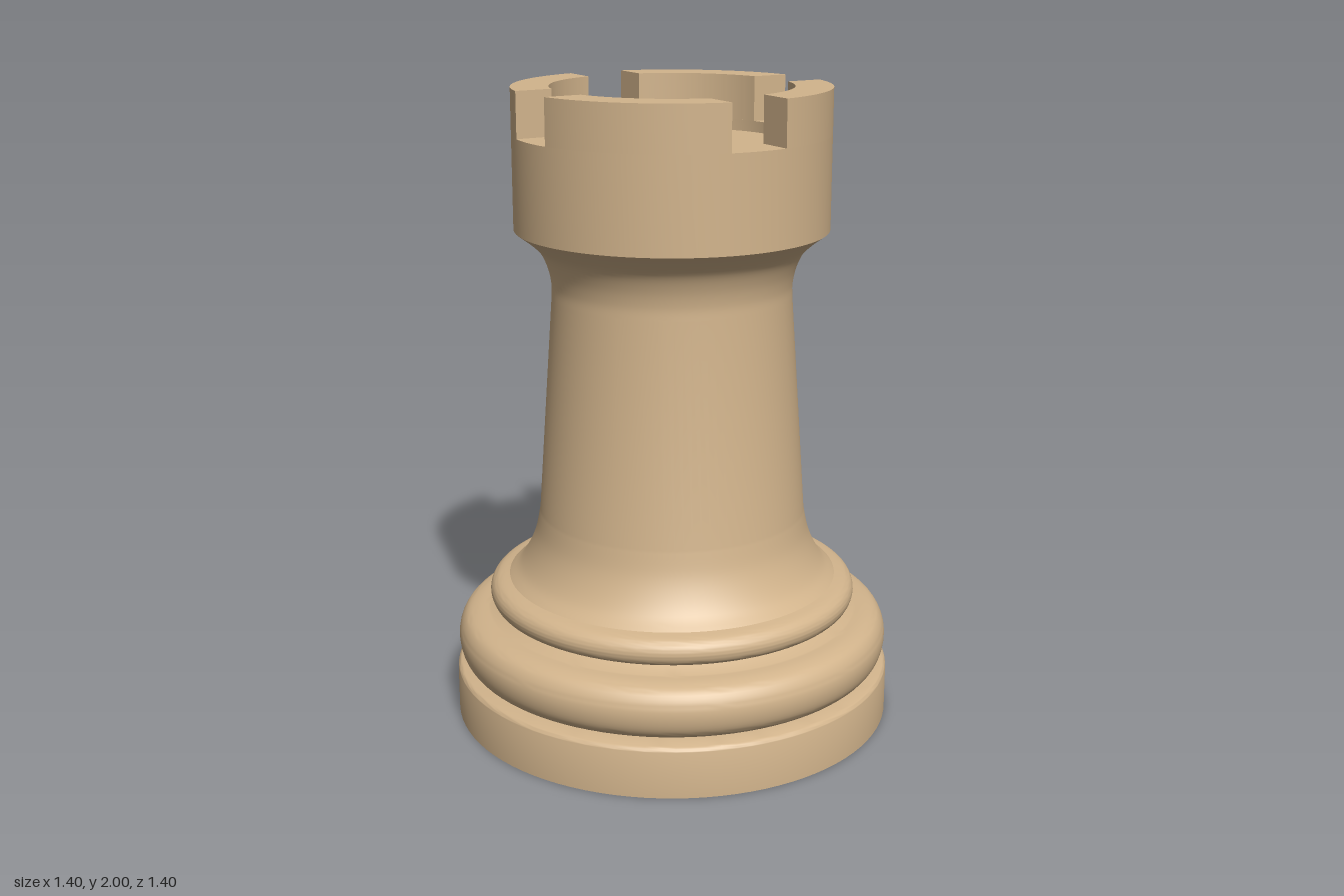
import * as THREE from 'three';
import { toCreasedNormals } from 'three/addons/utils/BufferGeometryUtils.js';

const wood = new THREE.MeshStandardMaterial({ color: 0xd2b48c });
wood.name = 'tan wood';

const SEGMENTS = 96;
const HEAD_R = 0.485, WELL_R = 0.37, NOTCH = 0.092;
const NOTCH_Y = 1.86, FLOOR_Y = 1.825, TOP_Y = 2;

const pt = (r, y) => new THREE.Vector2(r, y);

// Smooth run through a few [radius, height] points
const curve = (coords, n = 20) => new THREE.SplineCurve(coords.map(c => pt(...c))).getPoints(n);

function mesh(name, geometry) {
  const m = new THREE.Mesh(geometry, wood);
  m.name = name;
  return m;
}

function turned(name, points) {
  return mesh(name, toCreasedNormals(new THREE.LatheGeometry(points, SEGMENTS), 0.6));
}

function disc(name, radius, y, up) {
  const g = new THREE.CircleGeometry(radius, SEGMENTS);
  g.rotateX(up ? -Math.PI / 2 : Math.PI / 2);
  g.translate(0, y, 0);
  return mesh(name, g);
}

// One quarter of the battlement, with straight parallel notch sides
function merlonGeometry() {
  const outer = Math.asin(NOTCH / HEAD_R), inner = Math.asin(NOTCH / WELL_R);
  const shape = new THREE.Shape();
  shape.absarc(0, 0, HEAD_R, outer, Math.PI / 2 - outer, false);
  shape.absarc(0, 0, WELL_R, Math.PI / 2 - inner, inner, true);
  shape.closePath();
  const g = new THREE.ExtrudeGeometry(shape, {
    depth: TOP_Y - NOTCH_Y, bevelEnabled: false, curveSegments: 24,
  });
  g.rotateX(-Math.PI / 2);
  g.translate(0, NOTCH_Y, 0);
  return toCreasedNormals(g, 0.6);
}

export function createModel() {
  const group = new THREE.Group();
  group.name = 'rook';

  // Foot
  group.add(disc('footUnderside', 0.7, 0, false));
  group.add(turned('foot', [
    pt(0.7, 0), pt(0.7, 0.14),
    ...curve([[0.699, 0.148], [0.694, 0.157], [0.684, 0.162]], 6),
    pt(0.6, 0.163),
  ]));

  // Two rounded rings
  group.add(turned('lowerRing', [
    pt(0.6, 0.163),
    ...curve([[0.625, 0.165], [0.66, 0.178], [0.683, 0.207], [0.692, 0.25],
      [0.686, 0.29], [0.665, 0.322], [0.63, 0.337], [0.59, 0.342]], 28),
    pt(0.555, 0.361),
  ]));
  group.add(turned('upperRing', [
    pt(0.53, 0.361),
    ...curve([[0.56, 0.362], [0.578, 0.374], [0.587, 0.4], [0.58, 0.425],
      [0.56, 0.442], [0.525, 0.451]], 24),
  ]));

  // Flared, tapering body with a cove under the head
  group.add(turned('body', [
    ...curve([[0.525, 0.451], [0.49, 0.485], [0.46, 0.535], [0.437, 0.595], [0.422, 0.67]], 20),
    ...curve([[0.373, 1.36], [0.373, 1.4], [0.383, 1.45], [0.405, 1.5], [0.44, 1.536], [HEAD_R, 1.57]], 24),
  ]));

  // Head wall, notch ledge and well
  group.add(turned('head', [
    pt(HEAD_R, 1.57), pt(HEAD_R, NOTCH_Y), pt(WELL_R, NOTCH_Y), pt(WELL_R, FLOOR_Y),
  ]));
  group.add(disc('wellFloor', WELL_R, FLOOR_Y, true));

  // Four merlons
  const merlon = merlonGeometry();
  for (let i = 0; i < 4; i++) {
    const m = mesh('merlon', merlon);
    m.rotation.y = i * Math.PI / 2;
    group.add(m);
  }
  return group;
}
